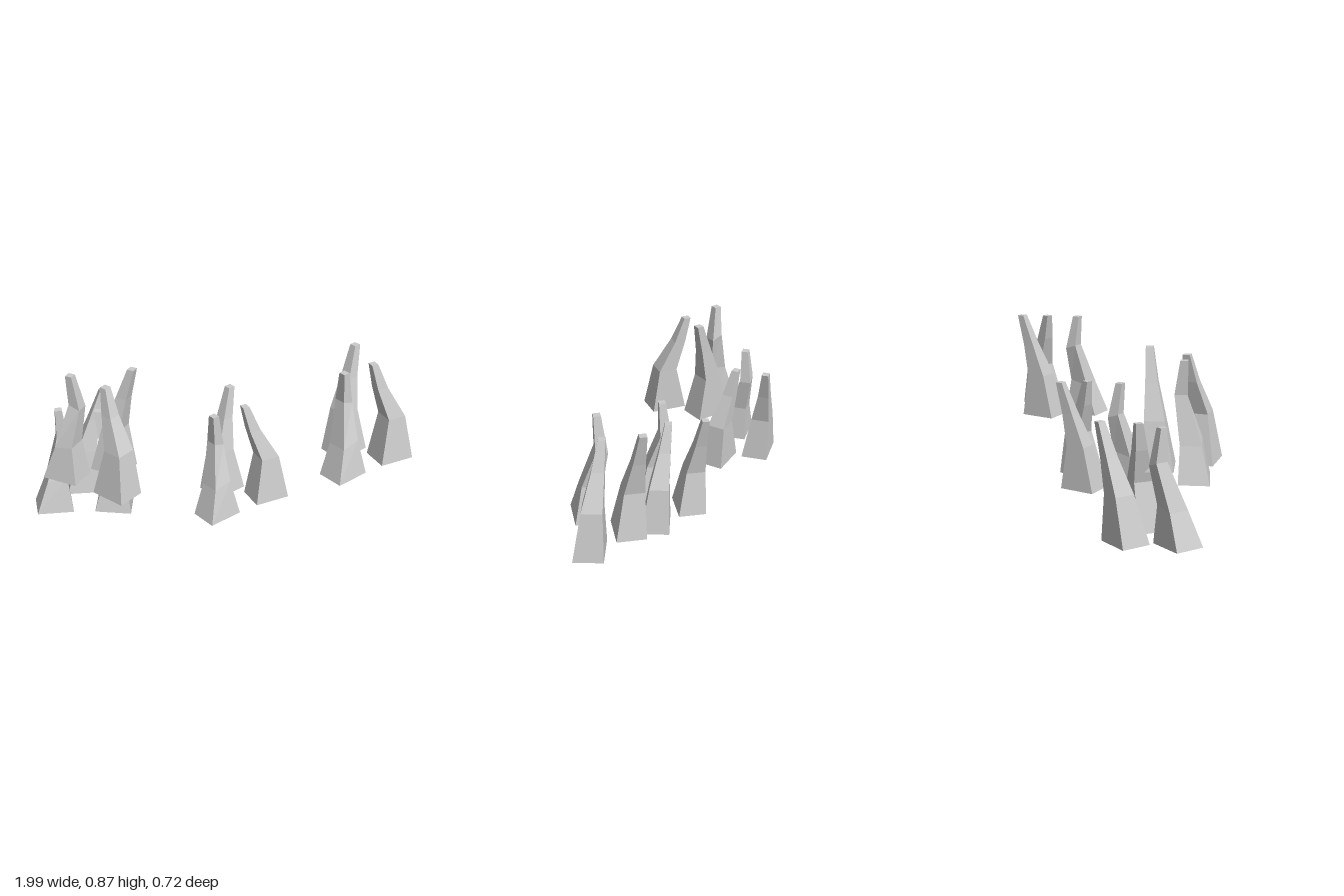
import * as THREE from 'three';

const material = new THREE.MeshStandardMaterial({ color: 0xcccccc, flatShading: true });

// Cross-section sizes from root to tip: [length, depth]
const SIZES = [[0.19, 0.145], [0.1, 0.1], [0.06, 0.06], [0.036, 0.036]];

// The three claws of one foot.
// at: root centre (x, z); turn: heading in degrees; rings: [height, shift along length, shift along depth, tilt]
const CLAWS = [
  {
    name: 'hookedClaw', at: [-0.114, 0.13], turn: -32.5,
    rings: [[0, 0, 0, 0], [0.18, 0.012, -0.018, 0.2], [0.385, 0.047, -0.068, -0.35], [0.555, 0.027, -0.056, 0]],
  },
  {
    name: 'outerClaw', at: [-0.055, -0.11], turn: -32,
    rings: [[0, 0, 0, 0], [0.235, 0.007, -0.023, 0], [0.405, 0.053, -0.043, 0], [0.565, 0.1, -0.058, 0]],
  },
  {
    name: 'innerClaw', at: [0.17, -0.01], turn: -19,
    rings: [[0, 0, 0, 0], [0.24, 0.006, -0.02, 0], [0.405, -0.063, -0.045, 0], [0.54, -0.103, -0.062, 0]],
  },
];

// Reshape a box with three height segments so each level follows its ring
function clawGeometry(rings) {
  const geometry = new THREE.BoxGeometry(1, 1, 1, 1, 3, 1);
  const p = geometry.attributes.position;
  for (let i = 0; i < p.count; i++) {
    const level = Math.round((p.getY(i) + 0.5) * 3);
    const [height, du, dv, tilt] = rings[level];
    const [length, depth] = SIZES[level];
    const u = p.getX(i) * length;
    p.setXYZ(i, u + du, height + u * tilt, p.getZ(i) * depth + dv);
  }
  const flat = geometry.toNonIndexed();
  flat.computeVertexNormals();
  return flat;
}

function createFoot(name) {
  const foot = new THREE.Group();
  foot.name = name;
  for (const { name: clawName, at, turn, rings } of CLAWS) {
    const claw = new THREE.Mesh(clawGeometry(rings), material);
    claw.name = clawName;
    claw.position.set(at[0], 0, at[1]);
    claw.rotation.y = -THREE.MathUtils.degToRad(turn);
    foot.add(claw);
  }
  return foot;
}

export function createModel() {
  const model = new THREE.Group();
  model.name = 'clawSet';

  // Four feet: name, position, heading in degrees, sideways lean in radians
  const feet = [
    ['leftFoot', [0.71, 0.283, 0.05], 0, 0],
    ['middleFoot', [0.065, 0.045, -0.022], 0, 0],
    ['rightUpperFoot', [-0.648, 0.304, 0.08], 65.5, 0],
    ['rightLowerFoot', [-0.733, 0.02, -0.161], 28, -0.065],
  ];
  for (const [name, position, heading, lean] of feet) {
    const foot = createFoot(name);
    foot.position.set(...position);
    foot.rotation.set(0, -THREE.MathUtils.degToRad(heading), lean, 'ZYX');
    model.add(foot);
  }
  return model;
}
